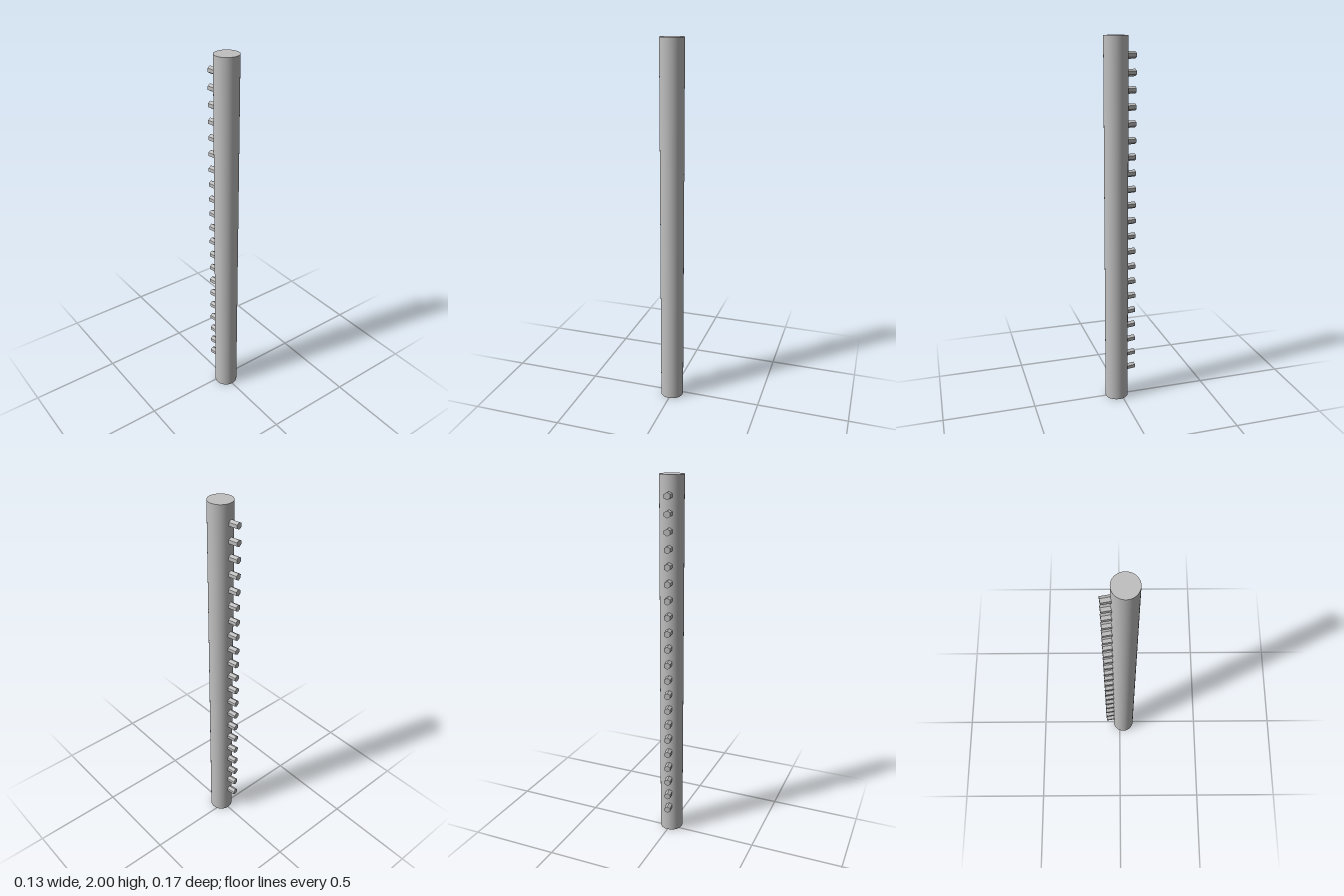
import * as THREE from 'three';

const HEIGHT = 2;
const RADIUS = 0.0635;
const COLUMN_Z = 0.0235;
const PEG_COUNT = 21;

export function createModel() {
  const model = new THREE.Group();
  model.name = 'peggedPole';
  const grey = new THREE.MeshStandardMaterial({ color: 0xc0c0c0, side: THREE.DoubleSide });
  grey.name = 'light grey';
  const flatGrey = grey.clone();
  flatGrey.flatShading = true;

  const add = (name, geometry, material, parent) => {
    const mesh = new THREE.Mesh(geometry, material);
    mesh.name = name;
    parent.add(mesh);
    return mesh;
  };

  // Hollow pole, closed on top and open underneath
  const pole = new THREE.Group();
  pole.name = 'pole';
  pole.position.z = COLUMN_Z;
  model.add(pole);
  add('poleWall', new THREE.CylinderGeometry(RADIUS, RADIUS, HEIGHT, 64, 1, true), grey, pole)
    .position.y = HEIGHT / 2;
  const cap = add('poleTop', new THREE.CircleGeometry(RADIUS, 64), grey, pole);
  cap.rotation.x = -Math.PI / 2;
  cap.position.y = HEIGHT;

  // Row of six-sided pegs radiating from the back, turned slightly to one side
  const inner = 0.055, outer = 0.11;
  const pegGeometry = new THREE.CylinderGeometry(0.0187, 0.0187, outer - inner, 6);
  pegGeometry.rotateX(-Math.PI / 2); // points along -z with an edge on top
  pegGeometry.translate(0, 0, -(inner + outer) / 2);
  const pegs = new THREE.Group();
  pegs.name = 'pegs';
  pegs.position.z = COLUMN_Z;
  pegs.rotation.y = THREE.MathUtils.degToRad(10);
  model.add(pegs);
  for (let i = 0; i < PEG_COUNT; i++) {
    add('peg', pegGeometry, flatGrey, pegs).position.y = 0.16 + i * 0.0871;
  }
  return model;
}
